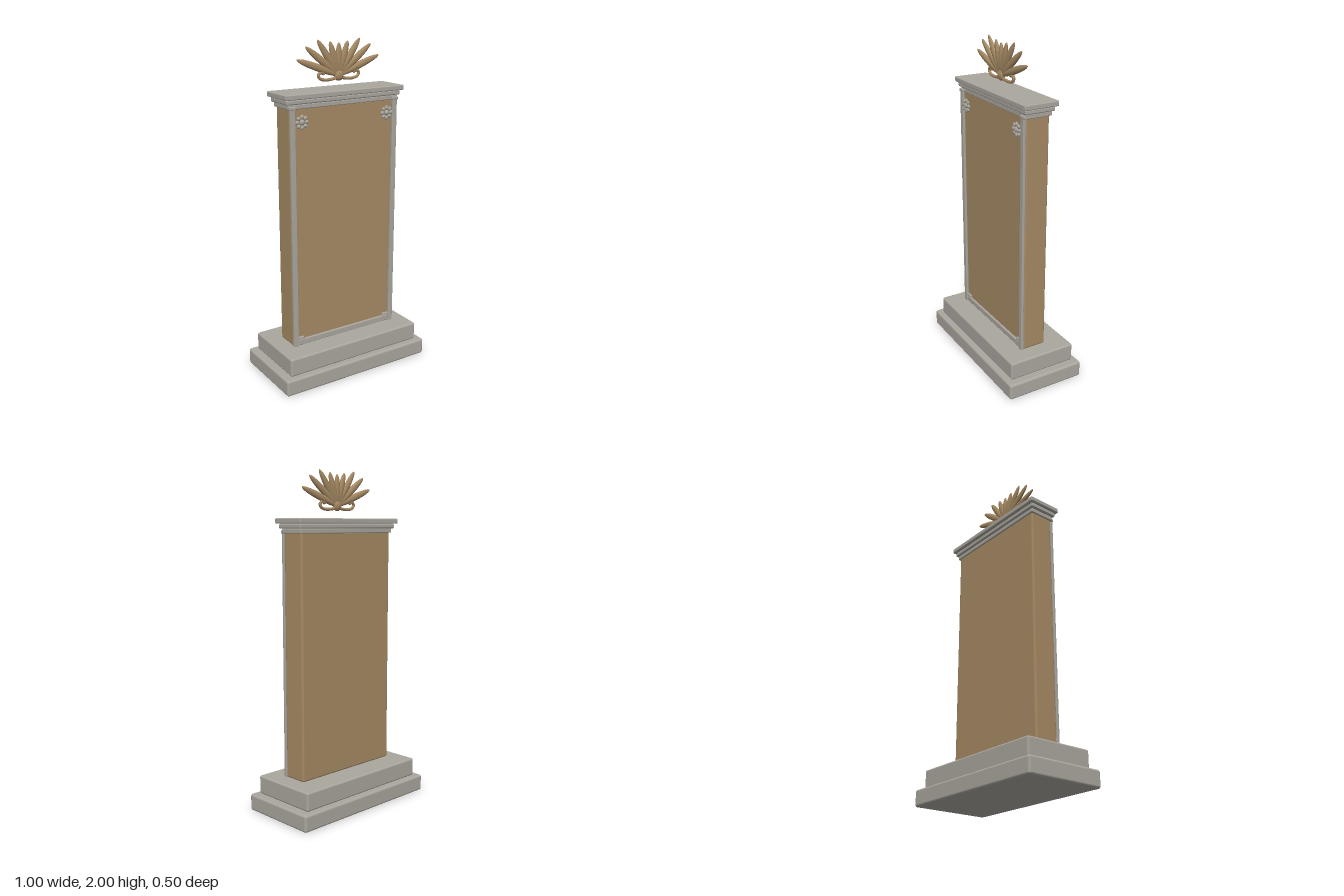
import * as THREE from 'three';
import { RoundedBoxGeometry } from 'three/addons/geometries/RoundedBoxGeometry.js';

export function createModel() {
  const model = new THREE.Group();
  model.name = 'stele';
  const stone = new THREE.MeshStandardMaterial({ name: 'grey stone', color: 0xaaa69e });
  const tan = new THREE.MeshStandardMaterial({ name: 'tan stone', color: 0xa68a64 });

  const add = (parent, name, geometry, material, x = 0, y = 0, z = 0) => {
    const mesh = new THREE.Mesh(geometry, material);
    mesh.name = name;
    mesh.position.set(x, y, z);
    parent.add(mesh);
    return mesh;
  };
  // Rounded block given by its width, bottom, top, back and front
  const block = (name, material, x, w, y0, y1, z0, z1, r) =>
    add(model, name, new RoundedBoxGeometry(w, y1 - y0, z1 - z0, 3, r), material,
      x, (y0 + y1) / 2, (z0 + z1) / 2);

  // Stepped base
  block('lowerStep', stone, 0, 1.0, 0, 0.1, -0.248, 0.248, 0.014);
  block('upperStep', stone, 0, 0.91, 0.1, 0.212, -0.214, 0.214, 0.012);

  // Main slab
  block('slab', tan, 0, 0.72, 0.213, 1.65, -0.073, 0.075, 0.012);

  // Cornice, widening upwards
  block('corniceLower', stone, 0, 0.74, 1.637, 1.664, -0.082, 0.082, 0.005);
  block('corniceMiddle', stone, 0, 0.768, 1.664, 1.692, -0.093, 0.093, 0.008);
  block('corniceUpper', stone, 0, 0.796, 1.692, 1.722, -0.108, 0.108, 0.006);

  // Frame on the front face
  block('bottomRail', stone, 0, 0.66, 0.217, 0.252, 0.07, 0.088, 0.004);
  for (const side of [-1, 1]) {
    block('pilaster', stone, side * 0.346, 0.032, 0.215, 1.645, 0.076, 0.093, 0.004);
    block('pilasterFoot', stone, side * 0.325, 0.07, 0.215, 0.268, 0.07, 0.086, 0.004);
    block('pilasterCap', stone, side * 0.346, 0.042, 1.637, 1.655, 0.074, 0.095, 0.004);

    // Rosette of eight round petals about a boss
    const rosette = new THREE.Group();
    rosette.name = 'rosette';
    rosette.position.set(side * 0.288, 1.565, 0.09);
    model.add(rosette);
    add(rosette, 'rosetteBoss', new THREE.SphereGeometry(0.016, 16, 10), stone).scale.z = 0.75;
    for (let i = 0; i < 8; i++) {
      const a = i * Math.PI / 4;
      const petal = add(rosette, 'rosettePetal', new THREE.SphereGeometry(0.0125, 12, 8), stone,
        Math.cos(a) * 0.03, Math.sin(a) * 0.03, 0);
      petal.rotation.z = a;
      petal.scale.set(1.05, 0.95, 0.7);
    }
  }

  // Palmette finial above the cornice
  const finial = new THREE.Group();
  finial.name = 'palmette';
  finial.position.set(0, 1.795, 0.017);
  model.add(finial);
  add(finial, 'palmetteHub', new THREE.SphereGeometry(0.031, 20, 14), tan).scale.z = 0.55;

  // Leaves fan out and lengthen towards the sides
  const lengths = [0.182, 0.2, 0.247, 0.275, 0.293];
  for (let i = -4; i <= 4; i++) {
    const length = lengths[Math.abs(i)];
    const tilt = -i * 17.5 * Math.PI / 180;
    const leaf = add(finial, 'palmetteLeaf', new THREE.SphereGeometry(1, 16, 16), tan,
      -Math.sin(tilt) * length / 2, Math.cos(tilt) * length / 2, 0);
    leaf.scale.set(0.021, length / 2, 0.013);
    leaf.rotation.z = tilt;
  }

  // Scrolls curling up beside the hub
  for (const side of [-1, 1]) {
    const path = new THREE.CatmullRomCurve3([
      [0.01, -0.012], [0.05, -0.019], [0.095, -0.02], [0.127, -0.01],
      [0.136, 0.008], [0.122, 0.022], [0.104, 0.016],
    ].map(([x, y]) => new THREE.Vector3(side * x, y, 0)));
    add(finial, 'palmetteScroll', new THREE.TubeGeometry(path, 32, 0.009, 8), tan);
    add(finial, 'scrollTip', new THREE.SphereGeometry(0.0095, 10, 8), tan, side * 0.104, 0.016, 0);
  }
  return model;
}
